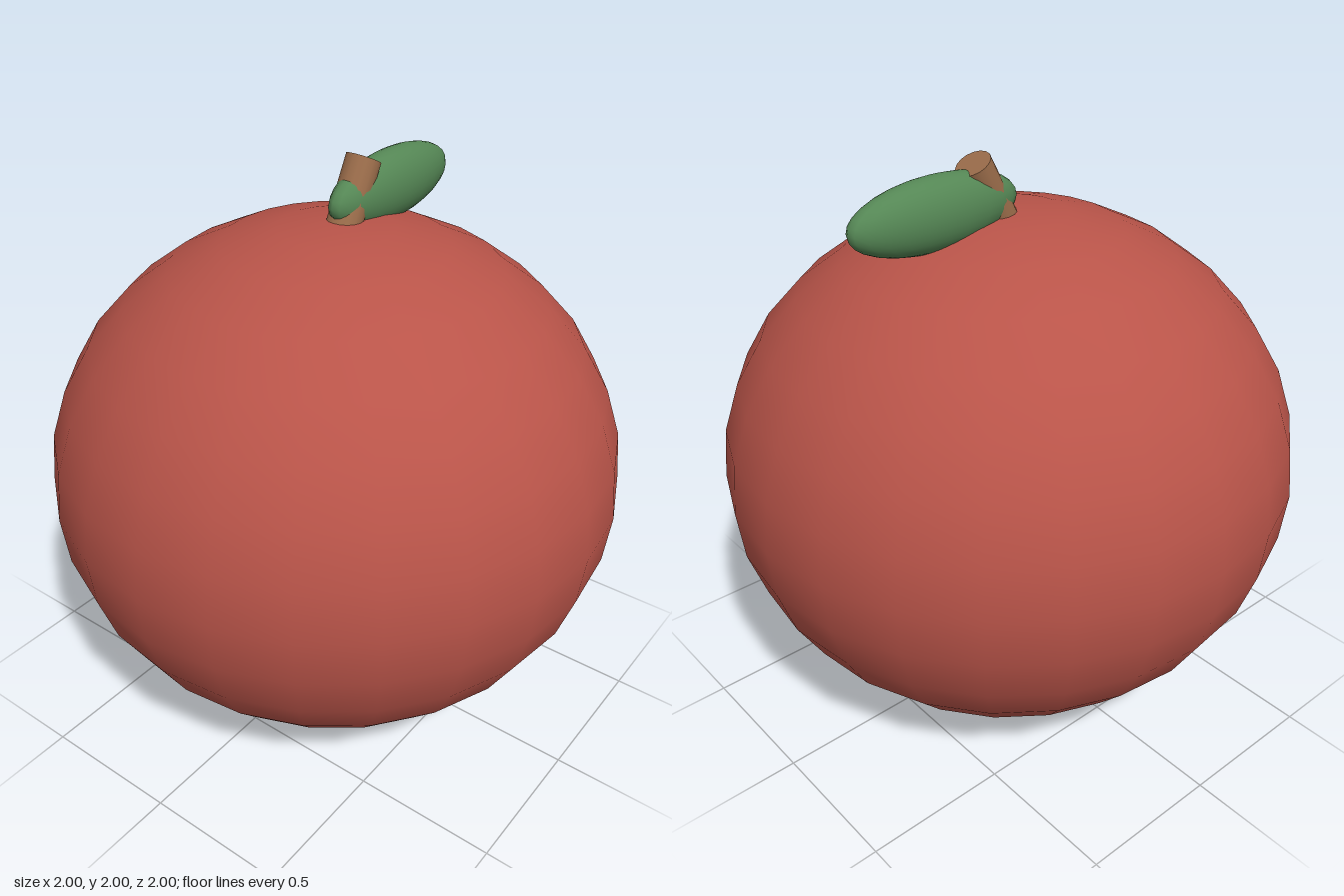
import * as THREE from 'three';

const fruitRed = new THREE.MeshStandardMaterial({ name: 'fruit red', color: 0xb95449 });
const leafGreen = new THREE.MeshStandardMaterial({ name: 'leaf green', color: 0x558755 });
const stemBrown = new THREE.MeshStandardMaterial({ name: 'stem brown', color: 0x9a6c4a });

function ellipsoid(name, material, radii, center, segments, rings) {
  const geometry = new THREE.SphereGeometry(1, segments, rings);
  geometry.scale(...radii);
  const mesh = new THREE.Mesh(geometry, material);
  mesh.name = name;
  mesh.position.set(...center);
  return mesh;
}

export function createModel() {
  const group = new THREE.Group();
  group.name = 'fruit';

  // Slightly squashed round body
  group.add(ellipsoid('body', fruitRed, [1, 0.9, 1], [0, 0.9, 0], 24, 16));

  // Plump leaf lying to one side of the stem
  group.add(ellipsoid('leaf', leafGreen, [0.323, 0.12, 0.086], [0.299, 1.846, 0], 24, 16));

  // Short stem, its base sunk into the body and leaning over the leaf
  const length = 0.3;
  const tilt = 0.5;
  const stemGeometry = new THREE.CylinderGeometry(0.06, 0.06, length, 16);
  stemGeometry.translate(0, -length / 2, 0);
  const stem = new THREE.Mesh(stemGeometry, stemBrown);
  stem.name = 'stem';
  stem.position.set(0.147, 1.971, 0);
  stem.rotation.z = -tilt;
  group.add(stem);

  return group;
}
